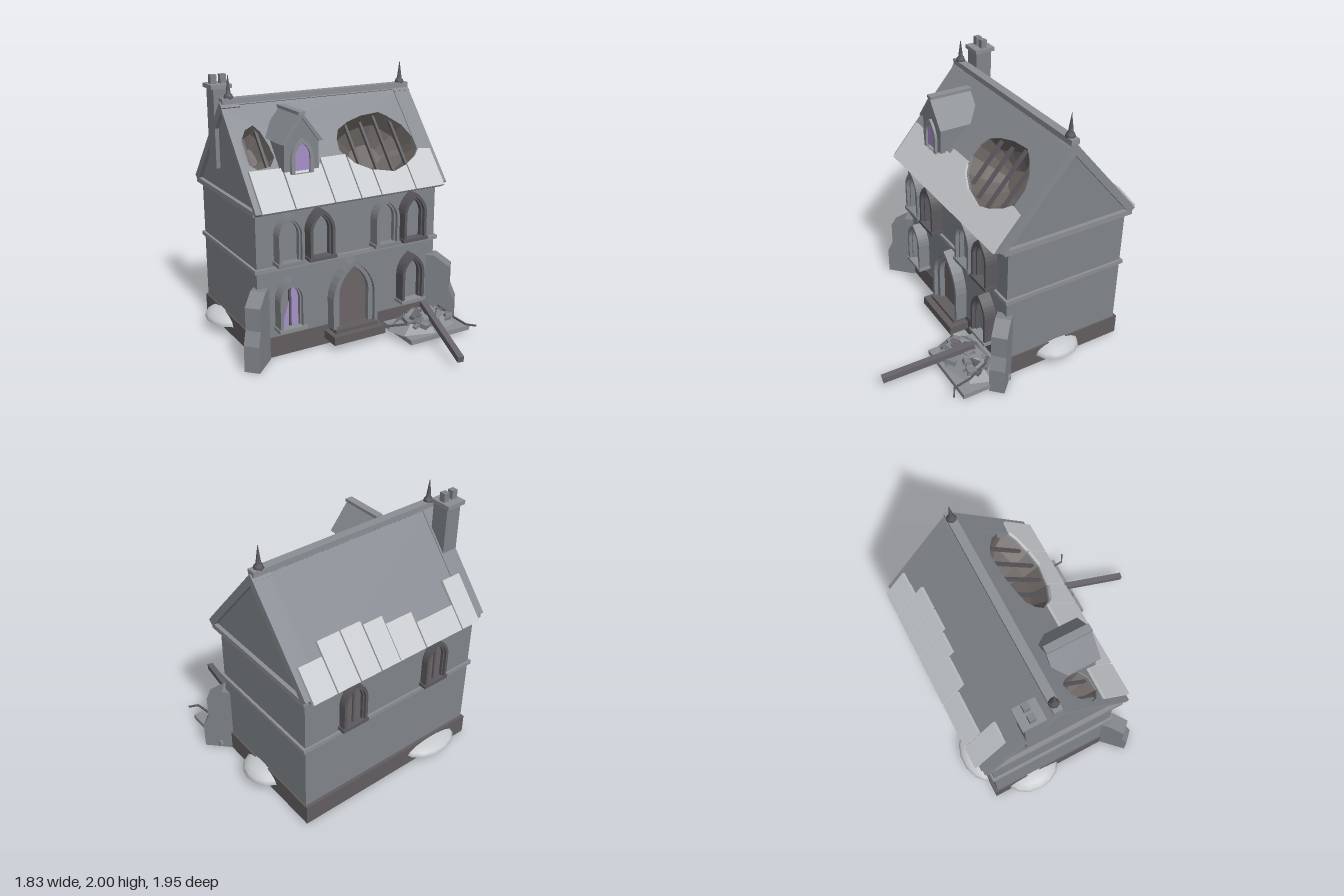
import * as THREE from 'three';

const M = {};
for (const [name, hex] of Object.entries({
  wallStone: 0x808489, roofSlate: 0x85898f, trimStone: 0x8b8e93, plinthStone: 0x625d60,
  darkFrame: 0x5b595d, violetGlass: 0xa78fca, paleTile: 0xc6c9cc, doorWood: 0x6b6467,
  oldTimber: 0x67656a, atticDark: 0x68625f,
})) M[name] = new THREE.MeshStandardMaterial({ name, color: hex });
// open inner surfaces
M.atticDark.side = THREE.DoubleSide;

const RIDGE_Z = -0.33, EAVE_Y = 1.13, SLOPE = 0.88 / 0.67;
const up = y => (y - EAVE_Y) * SLOPE; // height to distance along the roof slope

function add(parent, name, geo, mat, x = 0, y = 0, z = 0) {
  const m = new THREE.Mesh(geo, mat);
  m.name = name;
  m.position.set(x, y, z);
  parent.add(m);
  return m;
}
// box given by its limits
function box(parent, name, mat, x0, x1, y0, y1, z0, z1) {
  return add(parent, name, new THREE.BoxGeometry(x1 - x0, y1 - y0, z1 - z0), mat,
    (x0 + x1) / 2, (y0 + y1) / 2, (z0 + z1) / 2);
}
const poly = pts => new THREE.Shape(pts.map(p => new THREE.Vector2(...p)));
const extrude = (shape, depth) =>
  new THREE.ExtrudeGeometry(shape, { depth, bevelEnabled: false, curveSegments: 6 });

// pointed arch outline, half width w, from y0 to y0 + h
function arch(w, y0, h) {
  const s = new THREE.Shape(), spring = y0 + h - w * 1.55;
  s.moveTo(-w, y0);
  s.lineTo(w, y0);
  s.lineTo(w, spring);
  s.quadraticCurveTo(w * 0.92, spring + w * 0.9, 0, y0 + h);
  s.quadraticCurveTo(-w * 0.92, spring + w * 0.9, -w, spring);
  return s;
}
function ring(wOut, wIn, y0, hOut, hIn) {
  const s = arch(wOut, y0, hOut);
  s.holes.push(new THREE.Path(arch(wIn, y0 + 0.001, hIn).getPoints(6)));
  return s;
}
// bar between two points
function bar(parent, name, mat, a, b, t) {
  const A = new THREE.Vector3(...a), B = new THREE.Vector3(...b);
  const m = add(parent, name, new THREE.BoxGeometry(t, t, A.distanceTo(B)), mat);
  m.position.copy(A).lerp(B, 0.5);
  m.lookAt(B);
}

// arched window, wall face at local z = 0
function archWindow(parent, name, x, y, z, h, frame, panel, sill) {
  const g = new THREE.Group();
  g.name = name;
  g.position.set(x, y, z);
  add(g, 'outerFrame', extrude(ring(0.1, 0.078, 0, h, h - 0.035), 0.092), frame);
  add(g, 'innerFrame', extrude(ring(0.08, 0.066, 0, h - 0.033, h - 0.052), 0.065), frame);
  if (panel) add(g, 'panel', extrude(arch(0.07, 0, h - 0.05), 0.008), panel, 0, 0, 0.02);
  box(g, 'sill', sill, -0.11, 0.11, -0.01, 0.015, 0, 0.1);
  parent.add(g);
  return g;
}

// roof opening: dark hollow behind a ragged outline
function hollow(parent, outline, depth) {
  const n = outline.length, pos = [], idx = [];
  const cx = outline.reduce((a, p) => a + p[0], 0) / n, cy = outline.reduce((a, p) => a + p[1], 0) / n;
  for (const [k, d] of [[1, -0.01], [0.85, -depth * 0.55], [0.4, -depth]])
    for (const [x, y] of outline) pos.push(cx + (x - cx) * k, cy + (y - cy) * k, d);
  pos.push(cx, cy, -depth);
  for (let i = 0; i < n; i++) {
    const j = (i + 1) % n;
    for (const r of [0, n]) idx.push(r + i, r + j, r + n + i, r + j, r + n + j, r + n + i);
    idx.push(2 * n + i, 2 * n + j, 3 * n);
  }
  const g = new THREE.BufferGeometry();
  g.setAttribute('position', new THREE.Float32BufferAttribute(pos, 3));
  g.setIndex(idx);
  const flat = g.toNonIndexed();
  flat.computeVertexNormals();
  add(parent, 'roofHollow', flat, M.atticDark);
}

function createModel() {
  const root = new THREE.Group();
  root.name = 'ruinedHouse';

  // walls and string courses
  box(root, 'plinth', M.plinthStone, -0.765, 0.765, 0, 0.155, -0.86, 0.145);
  box(root, 'walls', M.wallStone, -0.755, 0.755, 0.155, 1.1, -0.835, 0.14);
  box(root, 'stringCourse', M.trimStone, -0.775, 0.775, 0.668, 0.698, -0.85, 0.16);
  box(root, 'cornice', M.trimStone, -0.79, 0.79, 1.1, 1.14, -0.87, 0.19);
  for (const s of [-1, 1])
    add(root, 'gableWall', extrude(poly([[-0.53, 1.14], [0.53, 1.14], [0, 1.77]]), 0.05), M.wallStone,
      s * 0.735 - 0.025, 0, RIDGE_Z).rotation.y = Math.PI / 2;

  // roof slopes, local y runs up the slope and z points outward
  const slopes = [0, Math.PI].map((turn, i) => {
    const half = new THREE.Group(), g = new THREE.Group();
    half.name = i ? 'backRoof' : 'frontRoof';
    half.position.z = RIDGE_Z;
    half.rotation.y = turn;
    g.position.set(0, EAVE_Y, 0.57);
    g.rotation.x = -Math.atan2(0.57, 0.67);
    half.add(g);
    root.add(half);
    for (const s of [-1, 1])
      box(g, 'gableCoping', M.roofSlate, s * 0.72 - 0.07, s * 0.72 + 0.07, 0.02, 0.88, -0.05, 0.006);
    return g;
  });
  const bigHole = [[0, 1.43], [0.01, 1.5], [0.05, 1.56], [0.15, 1.6], [0.28, 1.63], [0.44, 1.64], [0.5, 1.61],
    [0.6, 1.54], [0.66, 1.44], [0.67, 1.39], [0.6, 1.33], [0.49, 1.28], [0.37, 1.25], [0.2, 1.28], [0.07, 1.34]];
  const smallHole = [[-0.75, 1.47], [-0.73, 1.55], [-0.67, 1.62], [-0.6, 1.645], [-0.56, 1.6], [-0.53, 1.51],
    [-0.52, 1.44], [-0.57, 1.39], [-0.67, 1.38], [-0.73, 1.42]];
  const toSlope = pts => pts.map(([x, y]) => [x, up(y)]);
  const [front, back] = slopes;
  // replace the left coping where the small opening cuts into it
  front.remove(front.children[0]);
  const sheet = poly([[-0.79, 0], [0.75, 0], [0.75, 0.88], [-0.79, 0.88]]);
  for (const h of [bigHole, smallHole]) {
    sheet.holes.push(new THREE.Path(toSlope(h).map(p => new THREE.Vector2(...p))));
    hollow(front, toSlope(h), h === bigHole ? 0.24 : 0.14);
  }
  add(front, 'roofSheet', extrude(sheet, 0.03), M.roofSlate, 0, 0, -0.03);
  box(back, 'roofSheet', M.roofSlate, -0.75, 0.75, 0, 0.88, -0.03, 0);
  for (const [x, y0, y1] of [[0.14, 1.3, 1.61], [0.27, 1.26, 1.6], [0.4, 1.25, 1.63], [0.53, 1.29, 1.6],
    [-0.7, 1.4, 1.58], [-0.58, 1.39, 1.63]])
    box(front, 'rafter', M.darkFrame, x - 0.01, x + 0.01, up(y0), up(y1), -0.05, -0.025);

  // pale eave tiles
  const frontTiles = [[[-0.505, 1.365], [-0.75, 1.37]], [[-0.195, 1.36], [-0.495, 1.36]], [[0.02, 1.395], [-0.185, 1.395]],
    [[0.19, 1.28], [0.07, 1.335], [0.03, 1.38]], [[0.49, 1.28], [0.37, 1.25], [0.2, 1.28]],
    [[0.75, 1.36], [0.65, 1.37], [0.6, 1.33], [0.5, 1.285]]];
  for (const t of frontTiles) {
    const top = toSlope(t);
    add(front, 'eaveTile', extrude(poly([[top.at(-1)[0], -0.01], [top[0][0], -0.01], ...top]), 0.022), M.paleTile, 0, 0, 0.002);
  }
  for (const [x0, x1, len] of [[-0.71, -0.55, 0.35], [-0.54, -0.21, 0.17], [-0.2, 0.025, 0.25], [0.03, 0.19, 0.31],
    [0.2, 0.365, 0.34], [0.375, 0.555, 0.34], [0.565, 0.75, 0.24]])
    box(back, 'eaveTile', M.paleTile, -x1, -x0, -0.015, len, 0.002, 0.026);

  // ridge and finials
  box(root, 'ridge', M.trimStone, -0.78, 0.78, 1.79, 1.83, RIDGE_Z - 0.032, RIDGE_Z + 0.032);
  const spire = [[0, 0], [0.025, 0], [0.037, 0.02], [0.03, 0.04], [0.018, 0.055], [0.014, 0.09], [0, 0.19]];
  for (const s of [-1, 1])
    add(root, 'finial', new THREE.LatheGeometry(spire.map(p => new THREE.Vector2(...p)), 8), M.darkFrame, s * 0.72, 1.81, RIDGE_Z);

  // chimney
  box(root, 'chimneyShaft', M.wallStone, -0.79, -0.665, 1.3, 1.88, -0.568, -0.437);
  box(root, 'chimneyCap', M.trimStone, -0.81, -0.65, 1.88, 1.91, -0.59, -0.425);
  for (const x of [-0.765, -0.69]) box(root, 'chimneyPot', M.wallStone, x - 0.023, x + 0.023, 1.91, 1.975, -0.53, -0.485);

  // dormer
  const dormer = new THREE.Group();
  dormer.name = 'dormer';
  dormer.position.x = -0.375;
  root.add(dormer);
  add(dormer, 'dormerBody', extrude(poly([[-0.135, 1.36], [0.135, 1.36], [0.135, 1.57], [0, 1.74], [-0.135, 1.57]]), 0.3), M.wallStone, 0, 0, -0.19);
  add(dormer, 'dormerRoof', extrude(poly([[-0.165, 1.56], [-0.13, 1.56], [0, 1.735], [0.13, 1.56], [0.165, 1.56], [0, 1.77]]), 0.335), M.roofSlate, 0, 0, -0.21);
  box(dormer, 'dormerRidge', M.trimStone, -0.028, 0.028, 1.752, 1.775, -0.21, 0.127);
  add(dormer, 'dormerFrame', extrude(ring(0.087, 0.058, 1.34, 0.25, 0.215), 0.025), M.trimStone, 0, 0, 0.105);
  add(dormer, 'dormerGlass', extrude(arch(0.06, 1.36, 0.2), 0.006), M.violetGlass, 0, 0, 0.108);

  // front windows
  for (const [x, dark] of [[-0.52, 0], [-0.275, 1], [0.275, 0], [0.52, 1]])
    archWindow(root, 'upperWindow', x, 0.725, 0.14, 0.368, dark ? M.darkFrame : M.wallStone, M.wallStone, dark ? M.darkFrame : M.wallStone);
  archWindow(root, 'lowerWindow', 0.515, 0.225, 0.14, 0.385, M.darkFrame, M.wallStone, M.trimStone);
  const broken = archWindow(root, 'brokenWindow', -0.52, 0.225, 0.14, 0.385, M.wallStone, M.wallStone, M.trimStone);
  add(broken, 'glassShard', extrude(poly([[0, 0.01], [0.066, 0.01], [0.066, 0.27], [0.04, 0.33], [0, 0.26]]), 0.006), M.violetGlass, 0.003, 0, 0.03);
  add(broken, 'glassShard', extrude(poly([[-0.066, 0.01], [0, 0.01], [0, 0.22]]), 0.006), M.violetGlass, -0.003, 0, 0.03);
  box(broken, 'mullion', M.darkFrame, -0.008, 0.008, 0.01, 0.3, 0.02, 0.045);

  // back windows
  for (const x of [-0.37, 0.37]) {
    const w = archWindow(root, 'backWindow', x, 0.725, -0.835, 0.368, M.darkFrame, M.doorWood, M.darkFrame);
    w.rotation.y = Math.PI;
    w.scale.z = 0.6;
    box(w, 'mullion', M.darkFrame, -0.008, 0.008, 0.01, 0.32, 0.02, 0.045);
  }

  // door and steps
  add(root, 'doorSurround', extrude(ring(0.19, 0.163, 0.14, 0.535, 0.5), 0.09), M.wallStone, 0, 0, 0.14);
  add(root, 'doorFrame', extrude(ring(0.165, 0.125, 0.14, 0.502, 0.46), 0.06), M.wallStone, 0, 0, 0.14);
  add(root, 'door', extrude(arch(0.13, 0.14, 0.464), 0.008), M.doorWood, 0, 0, 0.15);
  box(root, 'lowerStep', M.plinthStone, -0.22, 0.22, 0.05, 0.115, 0.13, 0.3);
  box(root, 'upperStep', M.plinthStone, -0.18, 0.18, 0.115, 0.142, 0.13, 0.25);

  // diagonal corner buttresses
  const profile = poly([[-0.06, 0], [0.165, 0], [0.165, 0.2], [0.122, 0.3], [0.122, 0.47], [0.005, 0.55], [-0.06, 0.55]]);
  for (const s of [-1, 1]) {
    const g = new THREE.Group();
    g.name = 'buttress';
    g.position.set(s * 0.757, 0, 0.165);
    g.rotation.y = s > 0 ? -Math.PI / 4 : -Math.PI * 3 / 4;
    add(g, 'buttressBlock', extrude(profile, 0.114), M.wallStone, 0, 0, -0.057);
    root.add(g);
  }

  // low drifts against the walls
  for (const [x, z, rx, rz, h] of [[0.73, -0.31, 0.16, 0.19, 0.085], [-0.73, -0.52, 0.16, 0.22, 0.08], [-0.41, -0.82, 0.24, 0.16, 0.07]]) {
    const geo = new THREE.SphereGeometry(1, 14, 4, 0, Math.PI * 2, 0, Math.PI / 2);
    add(root, 'drift', geo, M.paleTile, x, 0.08, z).scale.set(rx, h, rz);
    const base = add(root, 'driftBase', new THREE.CircleGeometry(1, 14), M.paleTile, x, 0.08, z);
    base.rotation.x = Math.PI / 2;
    base.scale.set(rx, rz, 1);
  }

  // rubble heap with fallen timbers
  box(root, 'rubbleSlab', M.trimStone, 0.3, 0.84, 0.025, 0.062, 0.14, 0.53);
  const heap = add(root, 'rubbleHeap', new THREE.CylinderGeometry(0.13, 0.3, 0.11, 7).toNonIndexed(), M.trimStone, 0.53, 0.115, 0.33);
  heap.geometry.computeVertexNormals();
  heap.scale.z = 0.6;
  let seed = 7;
  const rnd = () => (seed = (seed * 16807) % 2147483647) / 2147483647;
  for (let i = 0; i < 32; i++) {
    const a = rnd() * Math.PI * 2, r = Math.sqrt(rnd()), size = 0.03 + rnd() * 0.04;
    const c = add(root, 'rubbleChunk', new THREE.BoxGeometry(size * 1.4, size * 0.6, size), i % 3 ? M.wallStone : M.oldTimber,
      0.54 + Math.cos(a) * r * 0.21, 0.19 - r * 0.07, 0.36 + Math.sin(a) * r * 0.13);
    c.rotation.set(rnd() - 0.5, rnd() * 3, rnd() - 0.5);
  }
  bar(root, 'fallenBeam', M.oldTimber, [0.42, 0.075, 0.965], [0.565, 0.215, 0.29], 0.046);
  const twig = [[0.72, 0.16, 0.28], [0.76, 0.11, 0.44], [0.775, 0.1, 0.57], [0.84, 0.09, 0.61]];
  for (let i = 0; i < 3; i++) bar(root, 'splinter', M.darkFrame, twig[i], twig[i + 1], 0.012);
  bar(root, 'splinter', M.darkFrame, [0.25, 0.1, 0.3], [0.42, 0.13, 0.42], 0.014);

  return root;
}

export { createModel };
